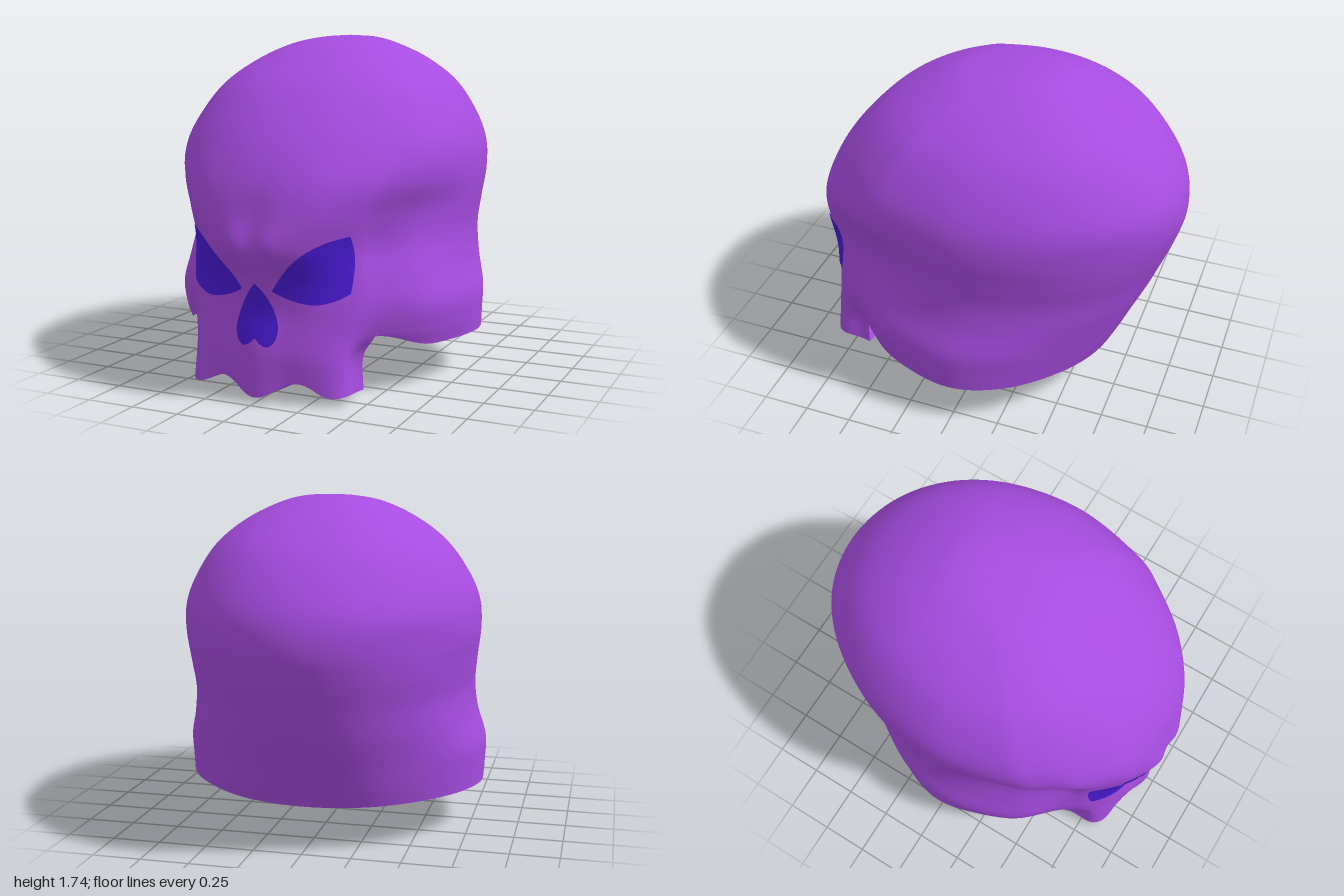
import * as THREE from 'three';

const boneMat = new THREE.MeshStandardMaterial({ color: 0xa64ce0, side: THREE.DoubleSide });
const holeMat = new THREE.MeshStandardMaterial({ color: 0x4a1ad6, side: THREE.DoubleSide });

// Lower cross-sections: height, back z, then (x, z) from front centre to the widest side
const FACE = [
  [0.00, -0.60, 0, .96, .12, .95, .26, .92, .415, .83, .437, .645, .63, .42, .79, .05],
  [0.20, -0.68, 0, .955, .12, .94, .26, .90, .405, .81, .432, .645, .66, .42, .80, .05],
  [0.32, -0.735, 0, .94, .12, .92, .27, .88, .41, .79, .50, .645, .70, .42, .808, .05],
  [0.45, -0.79, 0, .915, .12, .90, .28, .865, .42, .78, .535, .64, .715, .42, .808, .05],
  [0.60, -0.855, 0, .94, .12, .915, .28, .865, .425, .765, .505, .65, .67, .42, .765, .05],
  [0.75, -0.912, 0, .988, .11, .992, .28, .90, .433, .75, .485, .64, .63, .42, .748, .05],
  [0.90, -0.965, 0, .96, .14, .96, .30, .905, .45, .77, .515, .645, .635, .42, .76, .03],
  [1.05, -1.00, 0, .925, .16, .912, .33, .858, .49, .738, .585, .605, .685, .42, .777, .01],
];
// Cranium rings: height, half width, front z, back z, z of the widest point, fullness
const DOME = [
  [1.20, .765, .85, -.98, 0, 2.05], [1.35, .70, .735, -.895, -.02, 2.1],
  [1.50, .59, .58, -.76, -.05, 2.2], [1.62, .435, .385, -.585, -.08, 2.25],
  [1.70, .27, .20, -.415, -.10, 2.25], [1.735, .14, -.02, -.30, -.15, 2.2],
  [1.745, 0, -.17, -.17, -.17, 2],
];
const ANGLES = [0, .2, .43, .68, .9, 1.12, Math.PI / 2];
const JAW = 4;      // section point at the rear edge of the jaw
const LAST = 10;    // section point at the back centre
const SPLIT = 2.1;  // section level just above the arch behind the jaw
const LOW_ROWS = 10, ROWS = 82, STEPS = 48;

// Quarter curve between the widest side and the centre line; n = 2 is an ellipse
const quarter = (a, w, zc, ze, n) => [
  w * Math.pow(Math.sin(a), 2 / n),
  zc + (ze - zc) * Math.pow(Math.max(0, Math.cos(a)), 2 / n),
];
// The back is narrower than the flared cheekbones
function backPoints(w, zc, zb, n) {
  return [3, 2, 1, 0].map(k => quarter(k * Math.PI / 8, Math.min(w, k === 3 ? .795 : .76), zc, zb, n));
}
const SECTIONS = [
  ...FACE.map(([y, zb, ...f]) => {
    const pts = ANGLES.map((_, i) => [f[2 * i], f[2 * i + 1]]);
    return { y, pts: [...pts, ...backPoints(f[12], f[13], zb, 2)] };
  }),
  ...DOME.map(([y, w, zf, zb, zc, n]) => {
    const pts = ANGLES.map(a => quarter(a, w, zc, zf, n));
    return { y, pts: [...pts, ...backPoints(w, zc, zb, n)] };
  }),
];
const TOP = SECTIONS.length - 1;

const smooth = THREE.MathUtils.smoothstep;
function cubic(a, b, c, d, t) {
  return b + .5 * t * (c - a + t * (2 * a - 5 * b + 4 * c - d + t * (3 * (b - c) + d - a)));
}
// Smooth interpolation over the section index
function along(get, s) {
  const i = Math.min(TOP - 1, Math.max(0, Math.floor(s)));
  const b = get(i), c = get(i + 1);
  return cubic(i > 0 ? get(i - 1) : 2 * b - c, b, c, i + 2 <= TOP ? get(i + 2) : 2 * c - b, s - i);
}
const heightAt = s => along(i => SECTIONS[i].y, s);

// Point on the skull: t runs front to back on the left side, s runs upward
function surface(t, s) {
  const i = Math.min(LAST - 1, Math.floor(t));
  const coord = axis => along(k => {
    const p = SECTIONS[k].pts, flip = axis === 0 ? -1 : 1;
    const a = i > 0 ? p[i - 1][axis] : flip * p[1][axis];
    const d = i + 2 <= LAST ? p[i + 2][axis] : flip * p[LAST - 1][axis];
    return cubic(a, p[i][axis], p[i + 1][axis], d, t - i);
  }, s);
  const x = coord(0), y = heightAt(s);
  let z = coord(1);
  // Shallow ridges above the teeth
  z += .018 * (Math.cos(x * Math.PI * 5) - 1) * (1 - smooth(y, .02, .3)) * smooth(z, .72, .86);
  return [x, y, z];
}
function solve(f, target, lo, hi) {
  for (let k = 0; k < 36; k++) {
    const m = (lo + hi) / 2;
    if (f(m) < target) lo = m; else hi = m;
  }
  return (lo + hi) / 2;
}
// Three teeth, the outer ones a little shorter, sloping down to the rear
const wave = (x, z) => .07 - .04 * Math.cos(x * Math.PI * 5) - .09 * (.96 - z)
  + .03 * smooth(x, .28, .44);

// Lower rim: wavy teeth at the jaw, an arch behind it, then a flat cut
function rim(t) {
  const [x, , z] = surface(t, t <= JAW ? .3 : 1.2);
  const y = t <= JAW ? wave(x, z) : .23 + .08 * Math.pow(smooth(z, .34, .645), 1.4);
  return solve(heightAt, Math.max(0, y), 0, TOP);
}

// Grid of points [column][row] to a mesh, leaving out the quads that skip names
function gridMesh(name, cols, material, wrap = false, skip = () => false) {
  const n = cols.length, m = cols[0].length, index = [];
  for (let j = 0; j < (wrap ? n : n - 1); j++) {
    for (let i = 0; i < m - 1; i++) {
      if (skip(j, i)) continue;
      const a = j * m + i, b = ((j + 1) % n) * m + i;
      index.push(a, b, b + 1, a, b + 1, a + 1);
    }
  }
  const geo = new THREE.BufferGeometry();
  geo.setAttribute('position', new THREE.Float32BufferAttribute(cols.flat(2), 3));
  geo.setIndex(index);
  geo.computeVertexNormals();
  const mesh = new THREE.Mesh(geo, material);
  mesh.name = name;
  return mesh;
}
const mirror = ([x, y, z]) => [-x, y, z];

// Coloured opening that follows the face; its outline shrinks to a centre in rings
function facePatch(name, shape, centre, side) {
  const group = new THREE.Group();
  group.name = name;
  const outline = shape.getPoints(14);
  for (const offset of [.009, -.009]) {
    const cols = outline.map(p => Array.from({ length: 11 }, (_, k) => {
      const f = 1 - k / 10;
      const x = centre[0] + (p.x - centre[0]) * f, y = centre[1] + (p.y - centre[1]) * f;
      const s = solve(heightAt, y, 0, TOP);
      const t = solve(q => surface(q, s)[0], Math.abs(x), 0, 6);
      return [x * side, y, surface(t, s)[2] + offset];
    }));
    group.add(gridMesh(offset > 0 ? 'outerFace' : 'innerFace', cols, holeMat));
  }
  return group;
}

export function createModel() {
  const model = new THREE.Group();
  model.name = 'skull';

  // Shell, open below; rows are level above SPLIT and fitted to the rim below it
  const ts = [];
  for (let k = 0; k <= STEPS; k++) ts.push(k * JAW / STEPS);
  ts.push(JAW + .003);
  for (let k = 1; k <= STEPS; k++) ts.push(JAW + k * (LAST - JAW) / STEPS);
  const half = ts.map(t => {
    const s0 = rim(t);
    return Array.from({ length: ROWS + 1 }, (_, i) => surface(t, i < LOW_ROWS
      ? s0 + (SPLIT - s0) * i / LOW_ROWS
      : SPLIT + (TOP - SPLIT) * (i - LOW_ROWS) / (ROWS - LOW_ROWS)));
  });
  const mirrored = half.slice(1, -1).reverse().map(c => c.map(mirror));
  const loop = [...half, ...mirrored];
  // The jaw's rear edge is free below SPLIT
  const jawGap = (j, i) => i < LOW_ROWS && (j === STEPS || j === loop.length - STEPS - 1);
  model.add(gridMesh('cranium', loop, boneMat, true, jawGap));

  // Wavy underside of the teeth, running back to the jaw's rear edge
  const bite = half.slice(0, STEPS + 1).map(c => {
    const [x, y, z] = c[0];
    return [[x, Math.max(0, wave(x, .645)), .645], [x, y, z]];
  });
  const biteMirror = bite.slice(1).reverse().map(c => c.map(mirror));
  model.add(gridMesh('teethUnderside', [...biteMirror, ...bite], boneMat));

  // Slanted eye sockets
  const eye = new THREE.Shape();
  eye.moveTo(.08, .55);
  eye.quadraticCurveTo(.23, .785, .425, .815);
  eye.quadraticCurveTo(.447, .68, .425, .54);
  eye.quadraticCurveTo(.33, .475, .23, .495);
  eye.quadraticCurveTo(.14, .51, .08, .55);
  model.add(facePatch('leftEyeSocket', eye, [.29, .63], 1));
  model.add(facePatch('rightEyeSocket', eye, [.29, .63], -1));

  // Nose opening, an upturned heart
  const nose = new THREE.Shape();
  nose.moveTo(0, .585);
  nose.bezierCurveTo(.05, .54, .10, .45, .112, .37);
  nose.quadraticCurveTo(.11, .29, .06, .28);
  nose.quadraticCurveTo(.03, .285, 0, .32);
  nose.quadraticCurveTo(-.03, .285, -.06, .28);
  nose.quadraticCurveTo(-.11, .29, -.112, .37);
  nose.bezierCurveTo(-.10, .45, -.05, .54, 0, .585);
  model.add(facePatch('noseOpening', nose, [0, .41], 1));
  return model;
}
